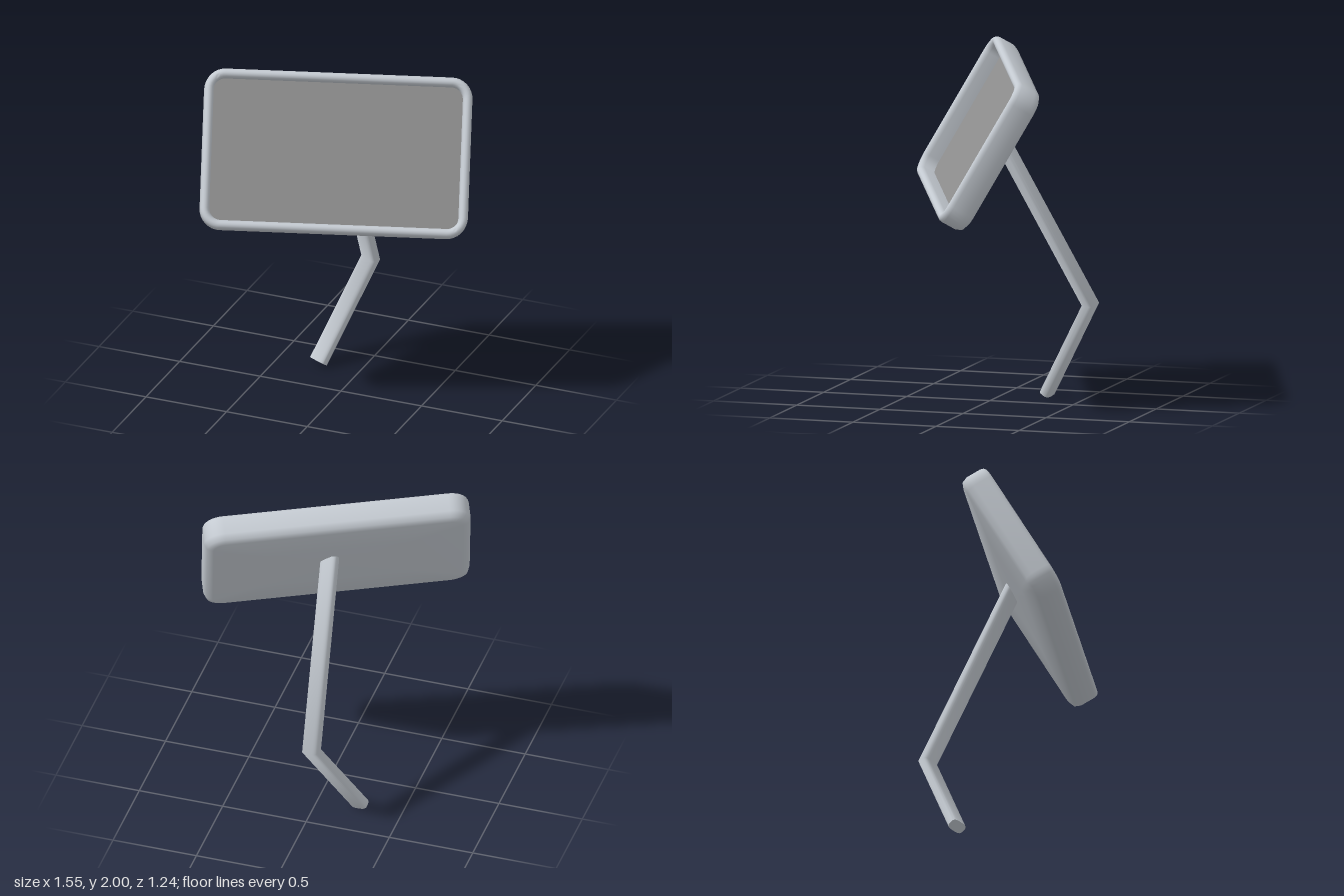
import * as THREE from 'three';
import { toCreasedNormals } from 'three/addons/utils/BufferGeometryUtils.js';

const V = (x, y, z) => new THREE.Vector3(x, y, z);
const W = 1.535, H = 0.922, CORNER = 0.12, BACK = -0.092;

// Skin a list of closed rings (each an array of Vector3 with equal counts)
function loft(rings, crease) {
  const n = rings[0].length, pos = [], idx = [];
  for (const ring of rings) for (const p of ring) pos.push(p.x, p.y, p.z);
  for (let i = 0; i < rings.length - 1; i++) {
    for (let j = 0; j < n; j++) {
      const a = i * n + j, b = i * n + (j + 1) % n;
      idx.push(a, a + n, b, b, a + n, b + n);
    }
  }
  const g = new THREE.BufferGeometry();
  g.setAttribute('position', new THREE.Float32BufferAttribute(pos, 3));
  g.setIndex(idx);
  return toCreasedNormals(g, crease);
}

// Rounded rectangle outline, counter-clockwise, inset from the full head size
function outline(inset, z, scale = 1) {
  const r = CORNER - inset, cx = W / 2 - CORNER, cy = H / 2 - CORNER, pts = [];
  [[1, 1], [-1, 1], [-1, -1], [1, -1]].forEach(([sx, sy], q) => {
    for (let k = 0; k <= 8; k++) {
      const a = (q + k / 8) * Math.PI / 2;
      pts.push(V((sx * cx + r * Math.cos(a)) * scale, (sy * cy + r * Math.sin(a)) * scale, z));
    }
  });
  return pts;
}

export function createModel() {
  const group = new THREE.Group();
  const add = (parent, name, geometry, color) => {
    const mat = new THREE.MeshStandardMaterial({ color, side: THREE.DoubleSide });
    const mesh = new THREE.Mesh(geometry, mat);
    mesh.name = name;
    parent.add(mesh);
  };
  const metal = 0xc4cad1;

  // Tilted mirror head
  const head = new THREE.Group();
  head.name = 'mirrorHead';
  const u = V(0.917, -0.05, -0.396).normalize();
  const n = u.clone().cross(V(-0.15, 0.866, -0.477)).normalize();
  const v = n.clone().cross(u);
  head.applyMatrix4(new THREE.Matrix4().makeBasis(u, v, n).setPosition(0, 1.543, 0.0725));
  group.add(head);

  // Housing: deep inner lip, rounded rim, side wall, softened back edge
  const rings = [outline(0.053, -0.025)];
  for (let k = 0; k <= 8; k++) {
    const a = Math.PI * (1 - k / 8);
    rings.push(outline(0.0265 - 0.0265 * Math.cos(a), 0.045 + 0.0325 * Math.sin(a)));
  }
  for (let k = 0; k <= 2; k++) {
    const a = k / 2 * Math.PI / 2;
    rings.push(outline(0.05 * (1 - Math.cos(a)), BACK + 0.05 * (1 - Math.sin(a))));
  }
  // Nearly flat back panel
  rings.push(outline(0.05, BACK - 0.006, 0.5), outline(0.05, BACK - 0.008, 0));
  add(head, 'housing', loft(rings, 1.2), metal);

  // Mirror glass, recessed behind the rim
  const glass = new THREE.ShapeGeometry(new THREE.Shape(outline(0.052, 0)));
  glass.translate(0, 0, -0.02);
  add(head, 'glass', glass, 0x8e8e8e);

  // Bent flat arm with rounded corners, mitred at the elbow, ending inside the housing
  const foot = V(-0.25, 0.022, -0.265), elbow = V(-0.06, 0.577, -0.585), top = V(0, 1.57, -0.037);
  const d1 = elbow.clone().sub(foot).normalize(), d2 = top.clone().sub(elbow).normalize();
  const wide = d1.clone().cross(d2).normalize();
  const mid = d1.clone().add(d2).normalize();
  const soften = (t) => Math.sign(t) * Math.abs(t) ** 0.6;
  const section = (c, dir, size, stretch = 1) => {
    const thick = wide.clone().cross(dir);
    return Array.from({ length: 24 }, (_, k) => {
      const a = k / 24 * Math.PI * 2;
      return c.clone().addScaledVector(wide, 0.053 * size * soften(Math.cos(a)))
        .addScaledVector(thick, 0.034 * size * stretch * soften(Math.sin(a)));
    });
  };
  add(group, 'arm', loft([
    section(foot, d1, 0), section(foot, d1, 1),
    section(elbow, mid, 1, 1 / mid.dot(d1)),
    section(top, d2, 1), section(top, d2, 0),
  ], 1.2), metal);

  return group;
}
